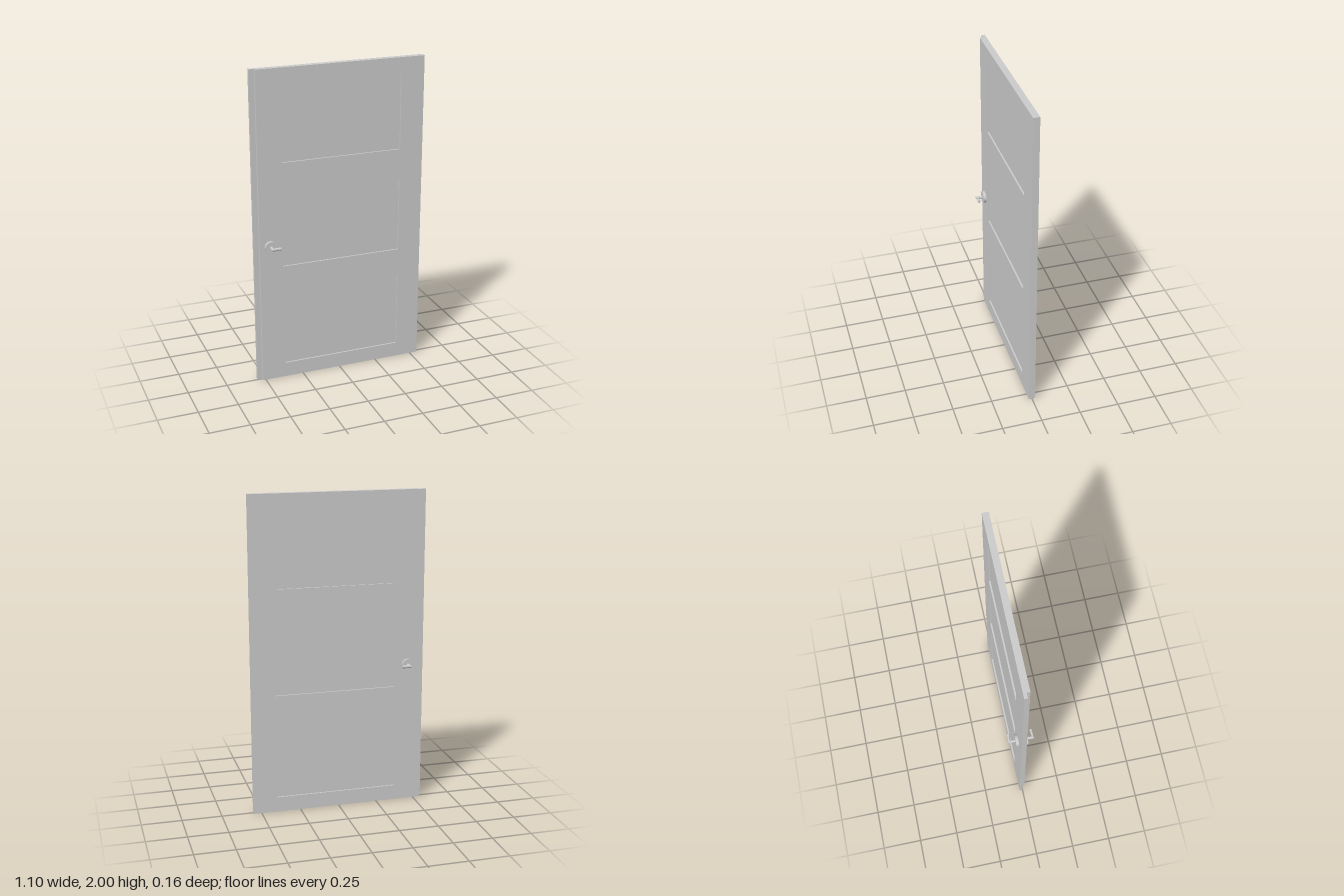
import * as THREE from 'three';

const material = new THREE.MeshStandardMaterial({ color: 0xcccccc });

const LEFT = -0.37, RIGHT = 0.40;                               // panel opening in x
const OPENINGS = [[0.095, 0.577], [0.761, 1.242], [1.427, 1.908]]; // opening bottoms and tops
const HANDLE_X = -0.449, HANDLE_Y = 0.902;

function addMesh(parent, name, geometry) {
  const mesh = new THREE.Mesh(geometry, material);
  mesh.name = name;
  parent.add(mesh);
  return mesh;
}

function rectangle(path, x0, x1, y0, y1) {
  path.moveTo(x0, y0).lineTo(x1, y0).lineTo(x1, y1).lineTo(x0, y1).closePath();
  return path;
}

// One half-thickness of the door frame, with three openings
function frameLayer(x0, z) {
  const shape = rectangle(new THREE.Shape(), x0, 0.55, 0, 2);
  for (const [y0, y1] of OPENINGS) shape.holes.push(rectangle(new THREE.Path(), LEFT, RIGHT, y0, y1));
  return new THREE.ExtrudeGeometry(shape, { depth: 0.02, bevelEnabled: false }).translate(0, 0, z);
}

// Mitred lever: round sections at the rose, the elbow and the tip, with a capped end
function leverGeometry() {
  const r = 0.0095, sides = 20;
  const sections = [
    (c, s) => [r * c, r * s, 0.036],
    (c, s) => [r * c, r * s, 0.074 - 0.007 * c],
    (c, s) => [0.05, r * s, 0.071 - 0.009 * c],
    (c, s) => [0.05, 0, 0.071],
  ];
  const positions = [];
  const point = (k, i) => {
    const a = (i / sides) * Math.PI * 2;
    return sections[k](Math.cos(a), Math.sin(a));
  };
  const normals = [];
  const normal = (k, i) => {
    const a = (i / sides) * Math.PI * 2, c = Math.cos(a), s = Math.sin(a);
    return [[c, s, 0], [0, s, -c], [1, 0, 0]][k];
  };
  for (let k = 0; k < 3; k++) {
    for (let i = 0; i < sides; i++) {
      for (const [dk, di] of [[0, 0], [0, 1], [1, 1], [0, 0], [1, 1], [1, 0]]) {
        positions.push(...point(k + dk, i + di));
        normals.push(...normal(k, i + di));
      }
    }
  }
  const geometry = new THREE.BufferGeometry();
  geometry.setAttribute('position', new THREE.Float32BufferAttribute(positions, 3));
  geometry.setAttribute('normal', new THREE.Float32BufferAttribute(normals, 3));
  return geometry;
}

// Round rose and lever; the back one is turned about the lever's own axis
function createHandle(name, back) {
  const handle = new THREE.Group();
  handle.name = name;
  const rose = new THREE.CylinderGeometry(0.038, 0.038, 0.018, 32).rotateX(Math.PI / 2).translate(0, 0, 0.029);
  addMesh(handle, 'rose', rose);
  addMesh(handle, 'lever', leverGeometry());
  handle.position.set(HANDLE_X, HANDLE_Y, 0);
  if (back) handle.rotation.x = Math.PI;
  return handle;
}

export function createModel() {
  const door = new THREE.Group();
  door.name = 'door';

  // Frame: the back layer is wider, leaving a rebate along the latch edge
  addMesh(door, 'frameFront', frameLayer(-0.518, 0));
  addMesh(door, 'frameBack', frameLayer(-0.55, -0.02));

  // Recessed panels
  for (const [y0, y1] of OPENINGS) {
    const panel = addMesh(door, 'panel', new THREE.BoxGeometry(RIGHT - LEFT, y1 - y0, 0.02));
    panel.position.set((LEFT + RIGHT) / 2, (y0 + y1) / 2, 0);
  }

  // Handles on both faces
  door.add(createHandle('frontHandle', false), createHandle('backHandle', true));
  return door;
}
